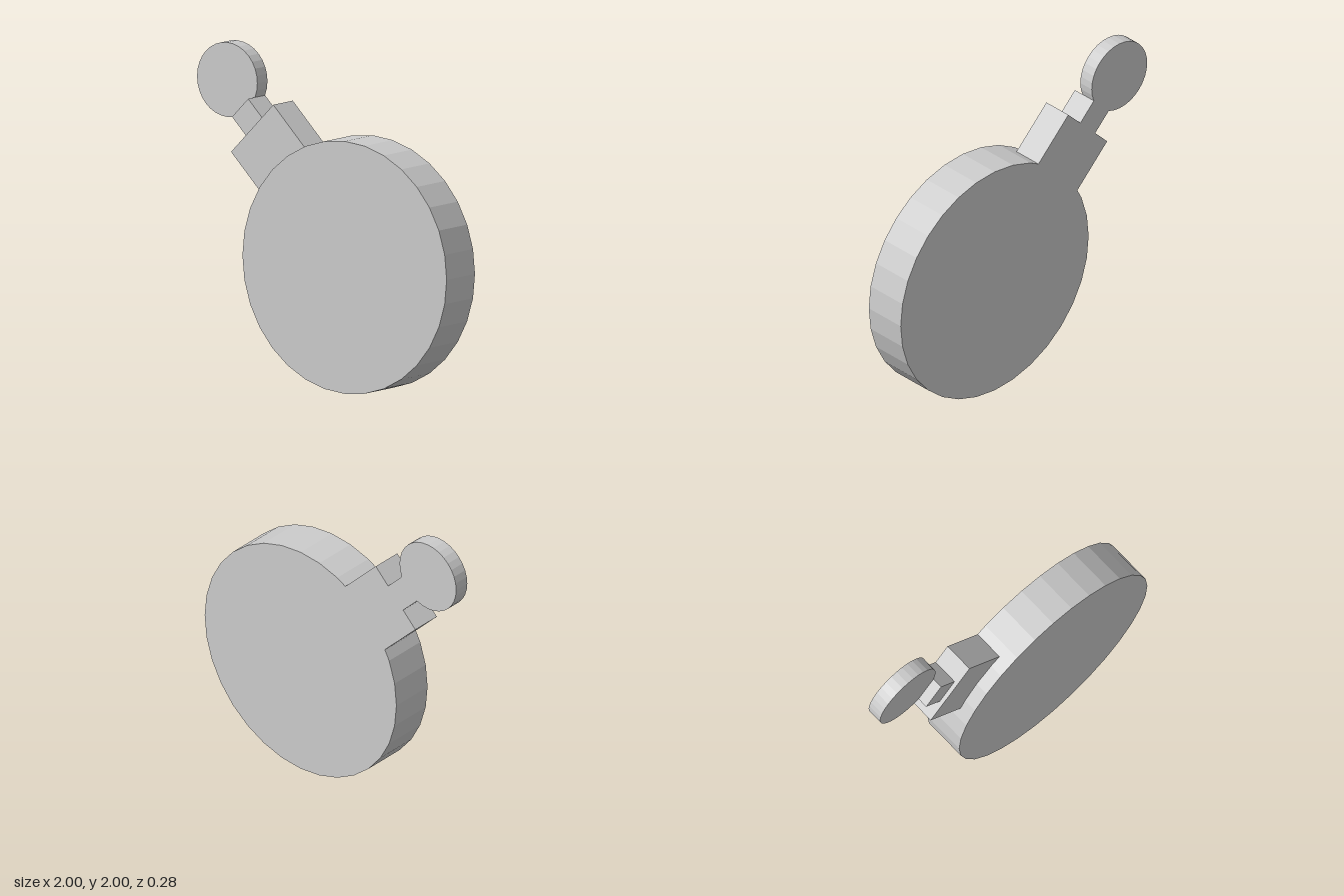
import * as THREE from 'three';

const BACK = -0.14; // all parts share one flat back plane
const material = new THREE.MeshStandardMaterial({ color: 0xcccccc, flatShading: true });

export function createModel() {
  const model = new THREE.Group();

  // The arm runs along local +y, starting at the centre of the large disc
  const body = new THREE.Group();
  body.name = 'body';
  body.position.set(0.237, 0.766, 0);
  body.rotation.z = Math.PI / 4;
  model.add(body);

  const add = (name, geometry, y, depth) => {
    const mesh = new THREE.Mesh(geometry, material);
    mesh.name = name;
    mesh.position.set(0, y, BACK + depth / 2);
    body.add(mesh);
  };
  const disc = (name, radius, y, depth) =>
    add(name, new THREE.CylinderGeometry(radius, radius, depth, 32).rotateX(Math.PI / 2), y, depth);
  const block = (name, width, from, to, depth) =>
    add(name, new THREE.BoxGeometry(width, to - from, depth), (from + to) / 2, depth);

  disc('largeDisc', 0.762, 0, 0.28);
  block('armBlock', 0.445, 0.6, 1.068, 0.193);
  block('neck', 0.17, 1.0, 1.223, 0.167);
  disc('smallDisc', 0.225, 1.431, 0.1);

  return model;
}
